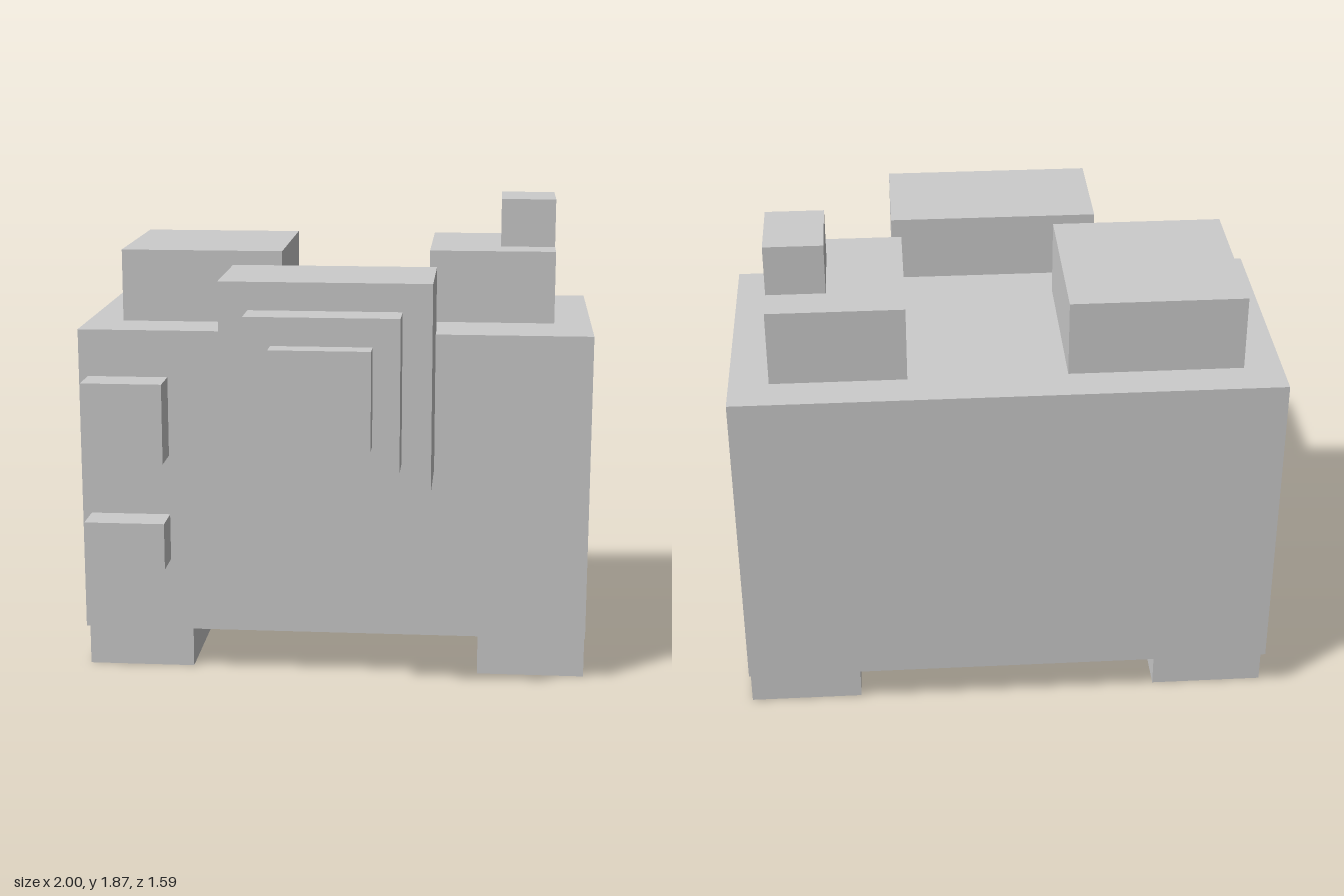
import * as THREE from 'three';

export function createModel() {
  const model = new THREE.Group();
  const material = new THREE.MeshStandardMaterial({ color: 0xcccccc, flatShading: true });

  // Box given by its [min, max] extent on each axis
  function block(name, [x0, x1], [y0, y1], [z0, z1]) {
    const mesh = new THREE.Mesh(new THREE.BoxGeometry(x1 - x0, y1 - y0, z1 - z0), material);
    mesh.position.set((x0 + x1) / 2, (y0 + y1) / 2, (z0 + z1) / 2);
    mesh.name = name;
    model.add(mesh);
  }

  // Main body on two feet
  block('body', [-1, 1], [0.18, 1.395], [-0.795, 0.205]);
  block('rightFoot', [-1, -0.575], [0, 0.18], [-0.72, 0.14]);
  block('leftFoot', [0.575, 1], [0, 0.18], [-0.72, 0.14]);

  // Stepped front housing, each step smaller and further forward
  block('frontHousing', [-0.395, 0.395], [0.86, 1.645], [0.135, 0.565]);
  block('frontMiddleStep', [-0.285, 0.285], [0.97, 1.54], [0.565, 0.71]);
  block('frontInnerStep', [-0.185, 0.185], [1.07, 1.435], [0.71, 0.795]);

  // Blocks on top
  block('rightTopBlock', [-0.86, -0.22], [1.395, 1.68], [-0.65, -0.01]);
  block('leftTopBlock', [0.36, 0.855], [1.395, 1.68], [-0.65, -0.08]);
  block('topButton', [0.64, 0.855], [1.68, 1.87], [-0.51, -0.225]);

  // Small blocks on the front face
  block('upperFrontButton', [-0.965, -0.65], [0.895, 1.21], [0.205, 0.35]);
  block('lowerFrontButton', [-0.965, -0.65], [0.47, 0.655], [0.205, 0.35]);

  return model;
}
